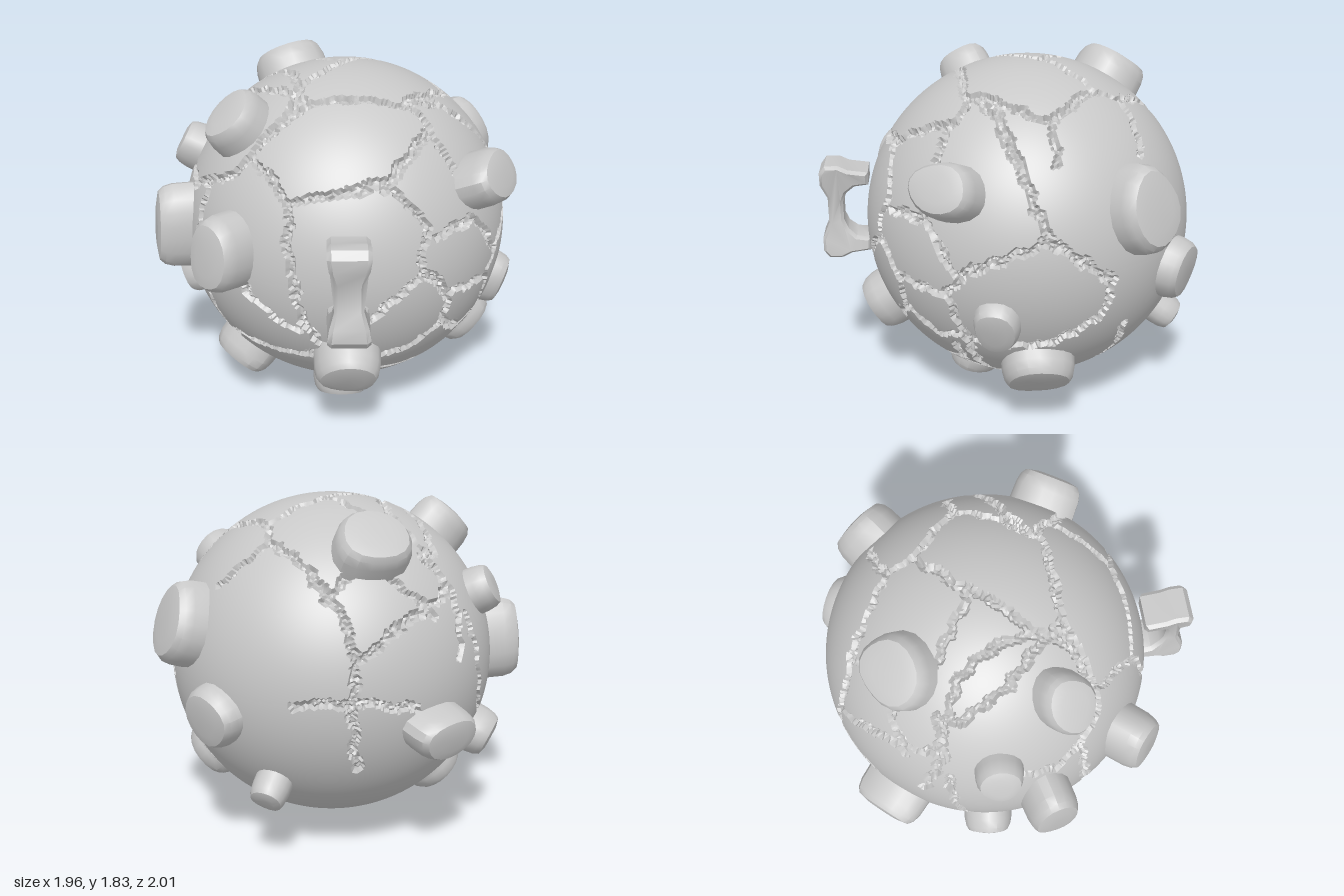
import * as THREE from 'three';
import { mergeVertices, toCreasedNormals } from 'three/addons/utils/BufferGeometryUtils.js';

const CENTRE = new THREE.Vector3(0.02, 0.965, -0.045);
const R = 0.862;
const V = (x, y, z) => new THREE.Vector3(x, y, z);
const hash = (p, k) => {
  const s = Math.sin(p.x * 127.1 * k + p.y * 311.7 + p.z * 74.7 * k) * 43758.5453;
  return s - Math.floor(s);
};

// Crack paths drawn on flat planes around the ball: right axis, up axis, outward axis, origin, scale
const diag = (sx, up) => {
  const e = 0.47 * up, out = V(sx * Math.cos(e) * 0.707, Math.sin(e), -Math.cos(e) * 0.707);
  const right = V(0, 1, 0).cross(out).normalize();
  return { right, up: out.clone().cross(right), out, o: [0, 0], s: 1 };
};
const planes = {
  front: { right: V(1, 0, 0), up: V(0, 1, 0), out: V(0, 0, 1), o: [0.02, 0.965], s: R },
  side: { right: V(0, 0, 1), up: V(0, 1, 0), out: V(1, 0, 0), o: [-0.045, 0.965], s: R },
  top: { right: V(1, 0, 0), up: V(0, 0, 1), out: V(0, 1, 0), o: [0.02, -0.045], s: R },
  backLeft: diag(-1, 1),
  backRight: diag(1, -1),
};
const cracks = {
  front: [
    [.04, 1.74, -.04, 1.51, .25, 1.36, .28, 1.2, .32, 1.05, .35, .8, .42, .55],
    [-.04, 1.51, -.14, 1.39, -.42, 1.27, -.55, 1.3],
    [-.28, 1.31, -.31, 1.1, -.29, .87, -.25, .52],
    [-.41, .47, -.23, .46, -.1, .52, .1, .5, .33, .53, .42, .58],
    [.03, .98, .08, .85, .2, .77, .32, .7],
    [.25, 1.36, .45, 1.42, .59, 1.45],
    [-.74, 1.3, -.78, .9, -.6, .57, -.41, .47],
    [.35, .52, .3, .28, .18, .2],
    [-.23, .46, -.15, .25, .05, .14],
    [-.57, 1.57, -.3, 1.7, -.05, 1.75],
  ],
  side: [
    [.38, 1.45, 0, 1.61, -.02, 1.72],
    [.38, 1.45, .28, 1.24, .35, 1, .54, .78, .62, .6],
    [.25, 1.18, -.02, 1.2, -.18, 1, -.22, .95],
    [.33, 1.02, .17, .86, -.16, .84, -.2, .6, -.02, .55, .16, .67, .17, .86],
    [-.16, .84, -.24, .97, -.61, 1.16, -.75, 1.02, -.82, .9],
    [-.02, 1.72, -.28, 1.62, -.48, 1.38, -.61, 1.16],
    [-.2, .6, -.15, .3, -.3, .17],
    [.45, .38, .2, .34, -.08, .36, -.1, .5],
    [.16, .67, .3, .54, .42, .5],
    [-.2, .57, -.56, .57, -.77, .72, -.82, .9],
  ],
  top: [
    [-.23, -.53, -.09, -.55, .05, -.45, .38, -.44, .48, -.55],
    [-.09, -.55, .05, -.76],
    [.03, -.45, .01, -.35, -.02, -.1, -.4, -.08],
    [-.02, -.1, 0, .08, -.04, .25],
    [-.7, .1, -.4, .05, -.2, .12, -.04, .25, .02, .4],
    [-.05, .63, .1, .33, .45, .03, .42, -.15, .58, -.3],
    [.6, .4, .58, .03, .8, 0],
    [.38, -.44, .45, -.15],
    [-.76, -.05, -.5, -.3, -.5, -.53],
  ],
  backLeft: [
    [-.19, .42, .13, .04, .2, -.22, .18, -.45, .2, -.77],
    [.2, -.22, .44, .01, .7, .25],
    [-.16, -.46, .18, -.42, .55, -.43],
    [.55, .45, .72, .3, .79, -.1],
  ],
  backRight: [
    [.44, 0, .41, -.3, .28, -.55],
    [-.5, -.45, -.15, -.5, .28, -.57, .6, -.5],
    [-.15, -.5, -.08, -.8],
    [.28, -.57, .35, -.8],
  ],
};

// Turns the paths into straight pieces on the unit sphere
function crackSegments() {
  const segments = [];
  for (const [name, paths] of Object.entries(cracks)) {
    const { right, up, out, o, s } = planes[name];
    for (const path of paths) {
      let last = null;
      for (let i = 0; i < path.length; i += 2) {
        const u = (path[i] - o[0]) / s, v = (path[i + 1] - o[1]) / s;
        const w = Math.sqrt(Math.max(0, 1 - u * u - v * v));
        const p = V(0, 0, 0).addScaledVector(right, u).addScaledVector(up, v).addScaledVector(out, w).normalize();
        if (last) segments.push(new THREE.Line3(last, p));
        last = p;
      }
    }
  }
  return segments;
}

// Ball with jagged grooves pressed into it along the cracks
function crackedBall() {
  let geo = new THREE.IcosahedronGeometry(1, 74);
  geo.deleteAttribute('normal');
  geo.deleteAttribute('uv');
  geo = mergeVertices(geo, 1e-5);
  const segments = crackSegments(), pos = geo.attributes.position;
  const p = V(0, 0, 0), q = V(0, 0, 0), near = V(0, 0, 0);
  for (let i = 0; i < pos.count; i++) {
    p.fromBufferAttribute(pos, i).normalize();
    q.set(
      p.x + 0.012 * Math.sin(p.y * 37 + p.z * 19),
      p.y + 0.012 * Math.sin(p.z * 41 + p.x * 23),
      p.z + 0.012 * Math.sin(p.x * 35 + p.y * 29)).normalize();
    let d = 1;
    for (const line of segments) {
      line.closestPointToPoint(q, true, near).normalize();
      d = Math.min(d, near.distanceToSquared(q));
    }
    d = Math.sqrt(d);
    const width = 0.017 + 0.014 * hash(p, 1);
    const depth = d < width ? 0.012 + 0.022 * hash(p, 2) : 0;
    p.multiplyScalar(R - depth);
    pos.setXYZ(i, p.x, p.y, p.z);
  }
  return toCreasedNormals(geo, 0.5);
}

// Rounded studs: direction from the ball's centre, half width, half height, tip distance
const studs = [
  [-.24, .68, .6, .14, .17, 1.0], [-.65, .4, .46, .12, .125, .97],
  [-.58, .05, .74, .135, .23, 1.02], [-.055, .11, .9, .145, .2, 1.03],
  [-.9, -.19, -.06, .19, .125, 1.01], [-.69, -.37, .42, .13, .13, .98],
  [-.31, -.74, .52, .18, .17, .99], [.17, -.88, .25, .15, .15, .985],
  [.49, -.48, .6, .17, .16, 1.0], [.53, -.63, -.44, .19, .18, .97],
  [.77, -.28, -.35, .12, .15, .93], [.83, .41, -.1, .18, .14, 1.02],
  [.2, .28, -.85, .18, .22, .995], [-.1, -.14, -.91, .17, .165, .95],
  [-.32, -.53, -.7, .1, .1, .99], [-.53, .73, -.19, .2, .18, .985],
];
function stud([x, y, z, a, b, tip], index, material) {
  const profile = [[1.03, .76 - tip], [1, -.08], [.94, -.035], [.83, -.008], [.5, .004], [0, -.004]];
  const geo = new THREE.LatheGeometry(profile.map(([r, h]) => new THREE.Vector2(r, h + tip)), 18);
  const pos = geo.attributes.position;
  for (let i = 0; i < pos.count; i++) {
    const px = pos.getX(i), pz = pos.getZ(i), t = Math.atan2(pz, px);
    const k = 1 + 0.02 * Math.cos(4 * t + index) + 0.03 * Math.cos(3 * t + index * 2);
    pos.setXYZ(i, px * a * k, pos.getY(i), pz * b * k);
  }
  geo.deleteAttribute('normal');
  geo.deleteAttribute('uv');
  const mesh = new THREE.Mesh(toCreasedNormals(mergeVertices(geo), 0.55), material);
  const out = V(x, y, z).normalize(), side = V(0, 1, 0).cross(out).normalize();
  mesh.quaternion.setFromRotationMatrix(new THREE.Matrix4().makeBasis(side, out, side.clone().cross(out)));
  mesh.name = 'stud' + (index + 1);
  return mesh;
}

// C-shaped grip with a round opening, pinched at the middle
function handle(material) {
  const half = [[.845, .22], [.95, .235], [1, .26], [1.07, .26], [1.1, .22], [1.1, .15], [1.065, .07]];
  const inner = [[.985, .05], [.965, .1], [.92, .14], [.845, .15]];
  const flip = list => list.map(([r, y]) => [r, -y]).reverse();
  const outline = [...half, ...flip(half), ...flip(inner), ...inner];
  const shape = new THREE.Shape(outline.map(([r, y]) => new THREE.Vector2(r, y)));
  const geo = new THREE.ExtrudeGeometry(shape, {
    depth: 0.8, bevelThickness: 0.1, bevelSize: 0.015, bevelOffset: -0.015, bevelSegments: 1,
  });
  const pos = geo.attributes.position;
  for (let i = 0; i < pos.count; i++) {
    const width = THREE.MathUtils.lerp(0.14, 0.21, THREE.MathUtils.smoothstep(Math.abs(pos.getY(i)), 0.06, 0.2));
    pos.setZ(i, (pos.getZ(i) - 0.4) * width);
  }
  const mesh = new THREE.Mesh(toCreasedNormals(geo, 0.6), material);
  mesh.rotation.y = -Math.atan2(0.78, 0.63);
  mesh.position.y = 0.065;
  mesh.name = 'handle';
  return mesh;
}

export function createModel() {
  const stone = new THREE.MeshStandardMaterial({ color: 0xc8c8c8 });
  stone.name = 'stone grey';
  const group = new THREE.Group();
  const ball = new THREE.Mesh(crackedBall(), stone);
  ball.name = 'crackedBall';
  group.add(ball, handle(stone), ...studs.map((s, i) => stud(s, i, stone)));
  group.children.forEach(part => part.position.add(CENTRE));
  return group;
}
